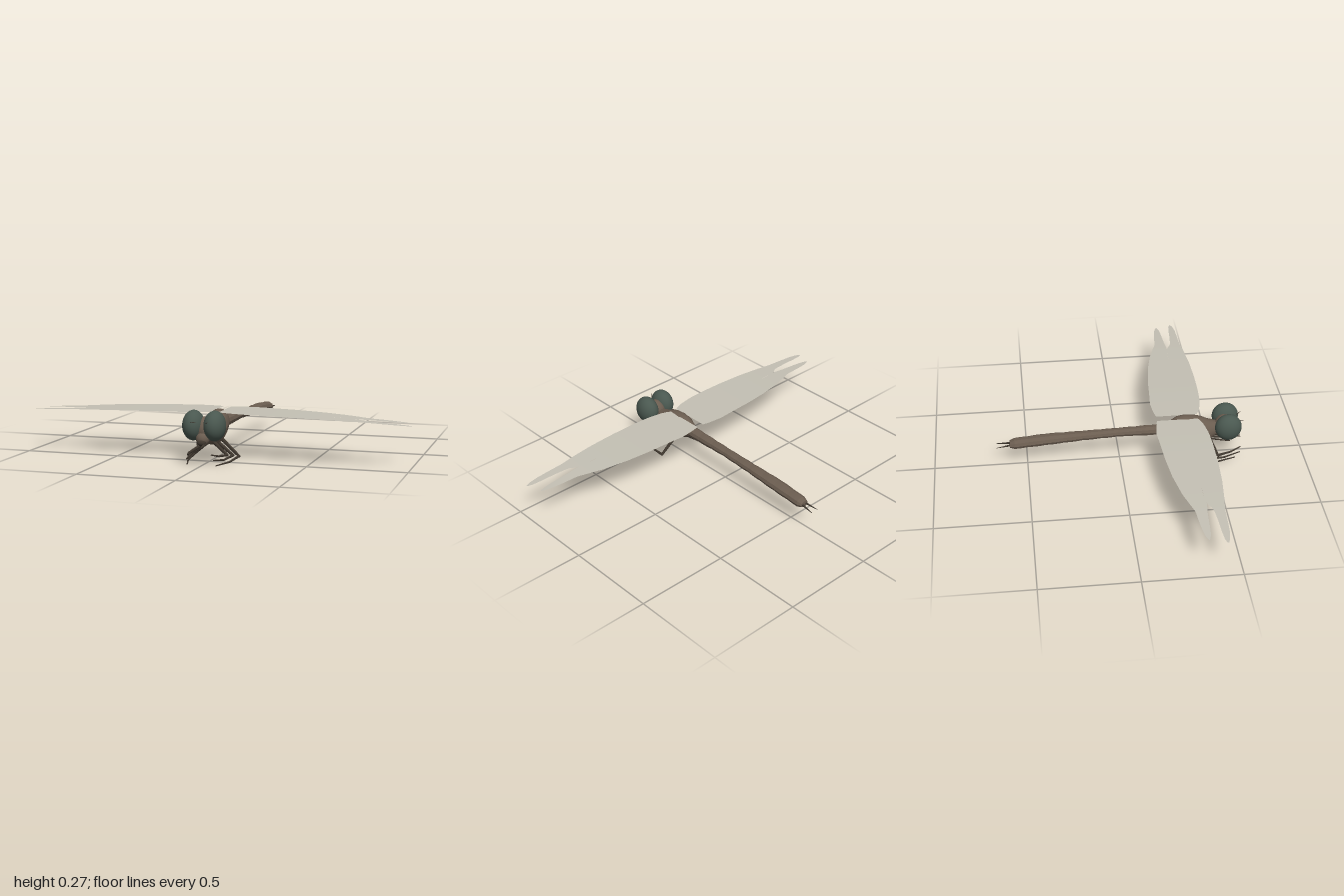
import * as THREE from 'three';

const paint = (color, extra = {}) => new THREE.MeshStandardMaterial({ color, ...extra });
const brown = paint(0x6b5d50), ribbed = paint(0x6b5d50, { flatShading: true });
const dark = paint(0x40382f), eyeGreen = paint(0x4a5850);
const wingGrey = paint(0xc4c0b4, { side: THREE.DoubleSide });
const V = (x, y, z) => new THREE.Vector3(x, y, z);

function add(parent, name, geometry, material) {
  const mesh = new THREE.Mesh(geometry, material);
  mesh.name = name;
  parent.add(mesh);
  return mesh;
}

// Indexed grid of rows x cols points; flip reverses the faces
function grid(points, rows, cols, flip) {
  const index = [];
  for (let i = 0; i < rows - 1; i++) for (let j = 0; j < cols - 1; j++) {
    const a = i * cols + j, b = a + 1, c = a + cols, d = c + 1;
    if (flip) index.push(a, b, c, b, d, c);
    else index.push(a, c, b, b, c, d);
  }
  const g = new THREE.BufferGeometry().setFromPoints(points);
  g.setIndex(index);
  g.computeVertexNormals();
  return g;
}

// Body skin through elliptical rings [z, top, bottom, half width], front to back
function loft(rings, sides) {
  const points = [];
  for (const [z, top, bottom, w] of rings) {
    for (let j = 0; j <= sides; j++) {
      const a = (j / sides) * Math.PI * 2;
      points.push(V(w * Math.cos(a), (top + bottom) / 2 + (top - bottom) / 2 * Math.sin(a), z));
    }
  }
  return grid(points, rings.length, sides + 1, false);
}

// Linear lookup of column k in a table whose first column is rising
function sample(table, x, k) {
  let i = 1;
  while (i < table.length - 1 && table[i][0] < x) i++;
  const a = table[i - 1], b = table[i];
  return THREE.MathUtils.lerp(a[k], b[k], (x - a[0]) / (b[0] - a[0]));
}

// Wing from stations [x, rear z, front z], drooping toward the tip
function wing(stations, side) {
  const rows = 41, cols = 5, points = [];
  const x0 = stations[0][0], x1 = stations[stations.length - 1][0];
  for (let i = 0; i < rows; i++) {
    const x = THREE.MathUtils.lerp(x0, x1, i / (rows - 1));
    const rear = sample(stations, x, 1), front = sample(stations, x, 2);
    for (let j = 0; j < cols; j++) {
      points.push(V(side * x, 0.241 - 0.027 * x * x, THREE.MathUtils.lerp(rear, front, j / (cols - 1))));
    }
  }
  return grid(points, rows, cols, side > 0);
}

// Tapered rod between two points
function rod(parent, name, from, to, r0, r1, material) {
  const dir = to.clone().sub(from);
  const mesh = add(parent, name, new THREE.CylinderGeometry(r1, r0, dir.length(), 7), material);
  mesh.position.copy(from).add(to).multiplyScalar(0.5);
  mesh.quaternion.setFromUnitVectors(V(0, 1, 0), dir.normalize());
}

const foreWing = [
  [0.02, 0.33, 0.42], [0.06, 0.33, 0.44], [0.15, 0.34, 0.457], [0.25, 0.345, 0.463],
  [0.4, 0.345, 0.464], [0.55, 0.345, 0.459], [0.68, 0.35, 0.447], [0.72, 0.355, 0.442],
  [0.76, 0.38, 0.436], [0.85, 0.389, 0.434], [0.93, 0.394, 0.431], [0.98, 0.4, 0.423], [1, 0.408, 0.414]];
const hindWing = [
  [0.02, 0.2, 0.33], [0.06, 0.19, 0.33], [0.14, 0.182, 0.34], [0.24, 0.19, 0.345],
  [0.36, 0.198, 0.345], [0.5, 0.215, 0.345], [0.64, 0.245, 0.347], [0.72, 0.272, 0.355],
  [0.77, 0.29, 0.348], [0.85, 0.296, 0.344], [0.92, 0.305, 0.34], [0.96, 0.315, 0.333], [0.972, 0.322, 0.328]];

// Hip, knee, ankle and toe of each leg on the +x side
const legs = {
  frontLeg: [[0.02, 0.1, 0.49], [0.1, 0.045, 0.525], [0.08, 0.05, 0.6], [0.06, 0.065, 0.655]],
  middleLeg: [[0.025, 0.09, 0.435], [0.11, 0.032, 0.457], [0.095, 0.026, 0.56], [0.07, 0.038, 0.65]],
  rearLeg: [[0.025, 0.1, 0.38], [0.12, 0.016, 0.388], [0.11, 0.008, 0.51], [0.075, 0.007, 0.625]],
};

export function createModel() {
  const model = new THREE.Group();
  model.name = 'dragonfly';

  // Thorax with its humped back
  add(model, 'thorax', loft([
    [0.545, 0.18, 0.18, 0], [0.535, 0.2, 0.135, 0.03], [0.515, 0.205, 0.115, 0.042],
    [0.48, 0.215, 0.085, 0.054], [0.44, 0.235, 0.077, 0.06], [0.4, 0.246, 0.082, 0.06],
    [0.35, 0.25, 0.1, 0.055], [0.31, 0.243, 0.12, 0.045], [0.28, 0.222, 0.135, 0.035],
    [0.25, 0.2, 0.143, 0.028], [0.23, 0.17, 0.17, 0]], 20), brown);

  // Abdomen in gently swelling segments
  const profile = [
    [-0.59, 0.152, 0.118, 0.025], [-0.565, 0.163, 0.11, 0.033], [-0.4, 0.178, 0.124, 0.036],
    [-0.2, 0.184, 0.138, 0.029], [0, 0.19, 0.148, 0.026], [0.28, 0.202, 0.14, 0.031]];
  const rings = [];
  const count = 9, steps = 4;
  for (let i = 0; i <= count * steps; i++) {
    const z = 0.28 - 0.87 * i / (count * steps);
    const swell = 0.0018 * Math.sin(Math.PI * (i % steps) / steps);
    rings.push([z, sample(profile, z, 1) + swell, sample(profile, z, 2) - swell, sample(profile, z, 3) + swell]);
  }
  rings.push([-0.592, 0.135, 0.135, 0]);
  add(model, 'abdomen', loft(rings, 10), ribbed);

  // Head core, face and snout
  const head = new THREE.Group();
  head.name = 'head';
  model.add(head);
  const blob = (name, x, y, z, sx, sy, sz, material) => {
    const mesh = add(head, name, new THREE.SphereGeometry(1, 24, 16), material);
    mesh.position.set(x, y, z);
    mesh.scale.set(sx, sy, sz);
  };
  blob('skull', 0, 0.175, 0.57, 0.05, 0.065, 0.055, brown);
  blob('face', 0, 0.135, 0.605, 0.034, 0.036, 0.034, brown);
  blob('upperLip', 0, 0.118, 0.625, 0.024, 0.018, 0.02, dark);

  // Paired parts
  for (const side of [1, -1]) {
    const p = (x, y, z) => V(side * x, y, z);
    blob('eye', side * 0.055, 0.197, 0.582, 0.055, 0.076, 0.072, eyeGreen);
    rod(head, 'jaw', p(0.018, 0.112, 0.62), p(0.008, 0.096, 0.662), 0.009, 0.002, dark);
    rod(head, 'antenna', p(0.015, 0.212, 0.62), p(0.045, 0.225, 0.665), 0.003, 0.001, dark);

    add(model, 'foreWing', wing(foreWing, side), wingGrey);
    add(model, 'hindWing', wing(hindWing, side), wingGrey);

    // Legs: thigh, shin and foot with a rounded knee
    for (const [name, joints] of Object.entries(legs)) {
      const leg = new THREE.Group();
      leg.name = name;
      model.add(leg);
      const j = joints.map(q => p(...q));
      rod(leg, 'thigh', j[0], j[1], 0.01, 0.007, dark);
      rod(leg, 'shin', j[1], j[2], 0.007, 0.005, dark);
      rod(leg, 'foot', j[2], j[3], 0.005, 0.003, dark);
      add(leg, 'knee', new THREE.SphereGeometry(0.0075, 8, 6), dark).position.copy(j[1]);
    }

    // Tail claspers
    rod(model, 'tailClasper', p(0.011, 0.135, -0.58), p(0.021, 0.128, -0.662), 0.006, 0.001, dark);
  }
  return model;
}
